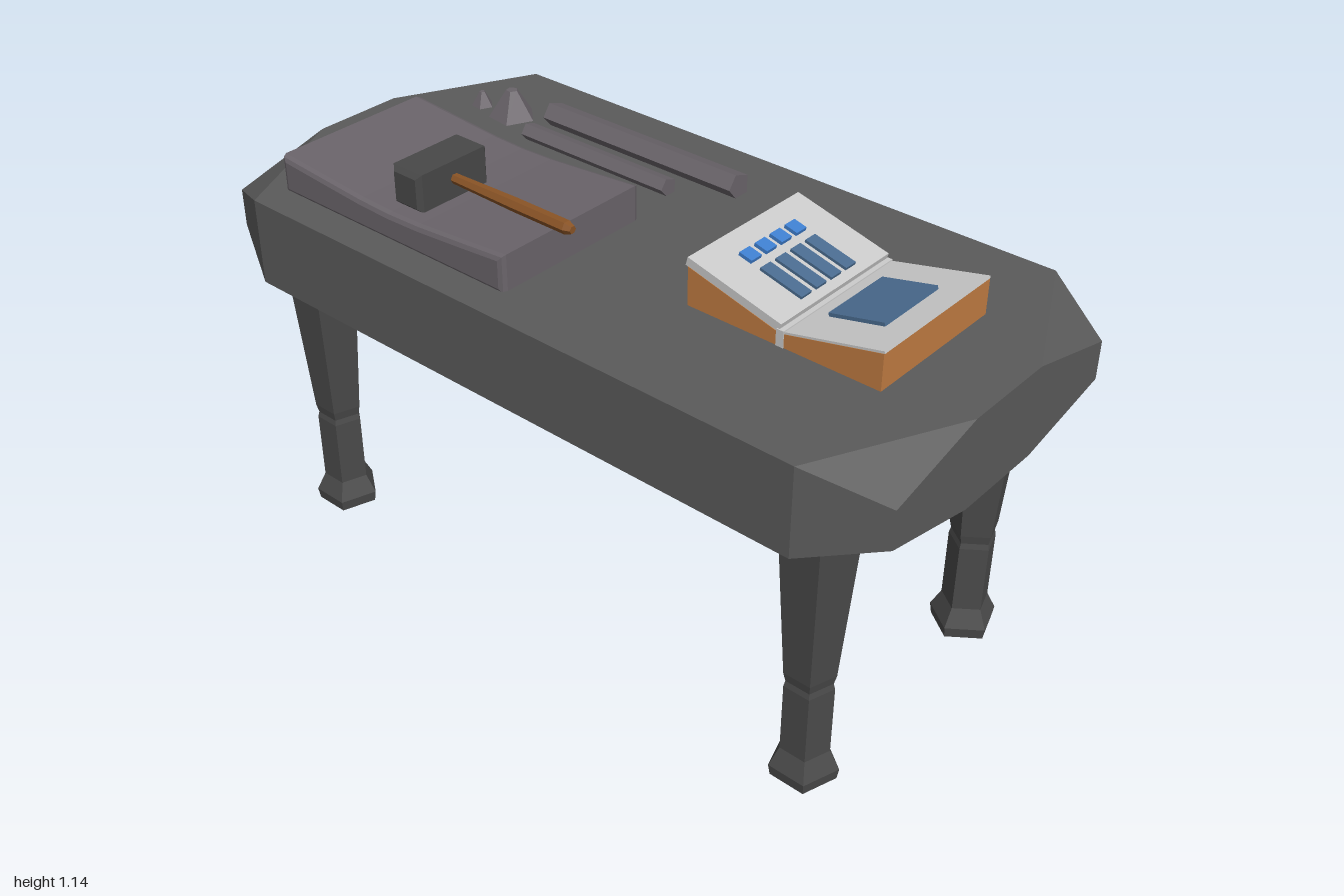
import * as THREE from 'three';
import { ConvexGeometry } from 'three/addons/geometries/ConvexGeometry.js';

const mat = (color) => new THREE.MeshStandardMaterial({ color, flatShading: true });
const stone = mat(0x5a5a5a), legGrey = mat(0x4a4a4a), slabGrey = mat(0x6a646a), iron = mat(0x484848);
const wood = mat(0x8a5426), tan = mat(0xc07c42), paper = mat(0xcccccc);
const blue = mat(0x3f7fd0), slate = mat(0x4a6c90);

function add(parent, name, geometry, material, x = 0, y = 0, z = 0) {
  const mesh = new THREE.Mesh(geometry, material);
  mesh.name = name;
  mesh.position.set(x, y, z);
  parent.add(mesh);
  return mesh;
}

const outline = (pts) => new THREE.Shape(pts.map(([x, y]) => new THREE.Vector2(x, y)));

// Box with its corners cut off on the edges around the z axis ends
function chamferedBox(w, h, d, c) {
  const pts = [];
  for (const sx of [-1, 1]) for (const sy of [-1, 1]) for (const sz of [-1, 1]) {
    pts.push(new THREE.Vector3(sx * w / 2, sy * h / 2, sz * (d / 2 - c)));
    pts.push(new THREE.Vector3(sx * (w / 2 - c), sy * (h / 2 - c), sz * d / 2));
  }
  return new ConvexGeometry(pts);
}

function createTop() {
  const pts = [];
  for (const sx of [-1, 1]) for (const sz of [-1, 1]) {
    for (const [x, y, z] of [[0.82, 0.97, 0.493], [0.82, 0.74, 0.493], [1, 0.9, 0.4],
      [1, 0.8, 0.4], [1, 0.97, 0.125], [1, 0.74, 0.125]]) {
      pts.push(new THREE.Vector3(sx * x, y, sz * z));
    }
  }
  return new ConvexGeometry(pts);
}

function createBook() {
  const book = new THREE.Group();
  book.name = 'openBook';

  // Wedge-shaped halves
  const halves = {
    leftBlock: [[0.285, 0.97], [0.535, 0.97], [0.535, 1.003], [0.285, 1.068]],
    rightBlock: [[0.545, 0.97], [0.8, 0.97], [0.8, 1.062], [0.545, 1.003]],
  };
  for (const [name, pts] of Object.entries(halves)) {
    const g = new THREE.ExtrudeGeometry(outline(pts), { depth: 0.4, bevelEnabled: false });
    add(book, name, g, tan, 0, 0, -0.227);
  }
  add(book, 'spine', new THREE.BoxGeometry(0.02, 0.042, 0.404), paper, 0.54, 0.991, -0.027);

  // Sloping pages; children lie in the page's own plane
  const page = (name, x, y, angle, length, thick) => {
    const g = new THREE.Group();
    g.name = name;
    g.position.set(x, y, -0.027);
    g.rotation.z = angle;
    add(g, name + 'Sheet', new THREE.BoxGeometry(length, thick, 0.398), paper);
    book.add(g);
    return g;
  };
  const left = page('leftPage', 0.409, 1.047, -0.25, 0.266, 0.022);
  for (let i = 0; i < 4; i++) {
    const z = -0.083 + i * 0.0545;
    add(left, 'marker', new THREE.BoxGeometry(0.036, 0.012, 0.036), blue, -0.052, 0.014, z);
    add(left, 'textBar', new THREE.BoxGeometry(0.118, 0.01, 0.036), slate, 0.05, 0.013, z);
  }
  const right = page('rightPage', 0.672, 1.035, 0.23, 0.264, 0.006);
  add(right, 'picture', new THREE.BoxGeometry(0.145, 0.012, 0.2), slate, -0.008, 0.006, 0);
  return book;
}

function createHammer() {
  const hammer = new THREE.Group();
  hammer.name = 'hammer';
  add(hammer, 'hammerHead', chamferedBox(0.095, 0.1, 0.225, 0.012), iron, -0.412, 1.086, 0.247);
  const profile = [[0, 0], [0.013, 0], [0.017, 0.2], [0.017, 0.36], [0.01, 0.378], [0, 0.378]];
  const handle = add(hammer, 'hammerHandle',
    new THREE.LatheGeometry(profile.map(([r, y]) => new THREE.Vector2(r, y)), 6), wood, -0.365, 1.09, 0.247);
  handle.rotation.z = -Math.PI / 2;
  return hammer;
}

export function createModel() {
  const model = new THREE.Group();
  model.name = 'workTable';
  add(model, 'tableTop', createTop(), stone);

  // Five-sided legs, flat side facing outward
  const legProfile = [[0, 0], [0.08, 0], [0.085, 0.03], [0.06, 0.08], [0.06, 0.27],
    [0.056, 0.285], [0.062, 0.31], [0.092, 0.715], [0.086, 0.745], [0, 0.745]]
    .map(([r, y]) => new THREE.Vector2(r, y));
  for (const sx of [-1, 1]) for (const sz of [-1, 1]) {
    const start = sz > 0 ? Math.PI : 0;
    add(model, sz > 0 ? 'frontLeg' : 'backLeg',
      new THREE.LatheGeometry(legProfile, 5, start), legGrey, sx * 0.785, 0, sz * 0.335);
  }

  // Worn slab with a dished top
  const slab = outline([[-0.795, 0.975], [-0.07, 0.975], [-0.07, 1.047], [-0.2, 1.036], [-0.33, 1.026],
    [-0.43, 1.023], [-0.53, 1.026], [-0.66, 1.036], [-0.795, 1.047]]);
  add(model, 'slab', new THREE.ExtrudeGeometry(slab, {
    depth: 0.43, bevelThickness: 0.015, bevelSize: 0.015, bevelSegments: 2,
  }), slabGrey, 0, 0, -0.04);

  // Irregular five-sided bars lying along x
  const bar = (name, x0, x1, z, size) => {
    const shape = outline([[0.025, 0], [0.07, 0], [0.07, 0.047], [0.024, 0.063], [0, 0.03]]
      .map(([a, b]) => [a * size, b * size]));
    const g = new THREE.ExtrudeGeometry(shape, { depth: x1 - x0, bevelEnabled: false });
    add(model, name, g, slabGrey, x0, 0.97, z).rotation.y = Math.PI / 2;
  };
  bar('longBar', -0.567, 0.055, -0.26, 1);
  bar('shortBar', -0.555, -0.08, -0.165, 0.72);

  // Pointed stones
  for (const [name, x, z, r, h] of [['largeStone', -0.68, -0.26, 0.064, 0.075], ['smallStone', -0.788, -0.255, 0.03, 0.04]]) {
    const s = add(model, name, new THREE.CylinderGeometry(r * 0.25, r, h, 5), slabGrey, x, 0.97 + h / 2, z);
    s.rotation.y = 0.5;
  }

  model.add(createHammer(), createBook());
  return model;
}
